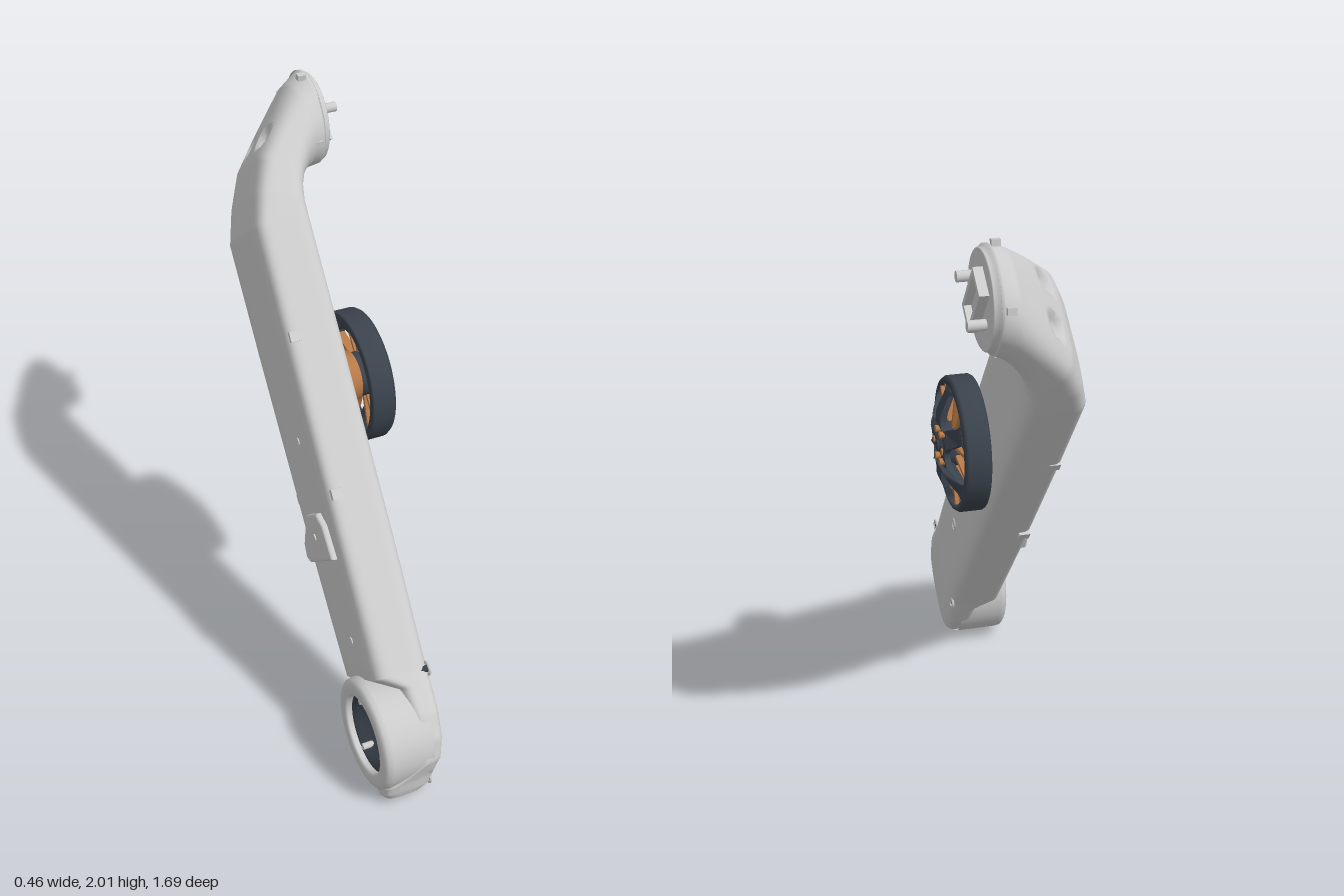
import * as THREE from 'three';

const grey = new THREE.MeshStandardMaterial({ color: 0xcccccc, side: THREE.DoubleSide });
const dark = new THREE.MeshStandardMaterial({ color: 0x3a424c, side: THREE.DoubleSide });
const copper = new THREE.MeshStandardMaterial({ color: 0xb87a48 });

function add(parent, name, geometry, material, x = 0, y = 0, z = 0) {
  const mesh = new THREE.Mesh(geometry, material);
  mesh.name = name;
  mesh.position.set(x, y, z);
  parent.add(mesh);
  return mesh;
}

// Cylinder lying along x, from x0 to x1
function rod(parent, name, r, x0, x1, y, z, material, sides = 32) {
  const g = new THREE.CylinderGeometry(r, r, x1 - x0, sides).rotateZ(-Math.PI / 2);
  return add(parent, name, g, material, (x0 + x1) / 2, y, z);
}

// Lathe profile of [radius, x] pairs around the x axis
function latheX(parent, name, profile, material, y, z, segments = 64) {
  const points = profile.map(([r, x]) => new THREE.Vector2(r, x));
  return add(parent, name, new THREE.LatheGeometry(points, segments).rotateZ(-Math.PI / 2), material, 0, y, z);
}

// Arm stations: inner x, inner y, outer x, outer y, +z edge, -z edge, roundness
const STATIONS = [
  [-0.085, -1.255, -0.20, -1.255, 0.03, -0.04, 3],
  [-0.055, -1.240, -0.215, -1.240, 0.05, -0.06, 4],
  [-0.030, -1.205, -0.215, -1.215, 0.08, -0.09, 4],
  [-0.012, -1.150, -0.11, -1.165, 0.146, -0.155, 4],
  [0.000, -1.080, -0.11, -1.080, 0.186, -0.187, 4],
  [0.008, -0.990, -0.11, -0.990, 0.197, -0.197, 4],
  [0.012, -0.890, -0.11, -0.890, 0.180, -0.190, 4.5],
  [0.015, -0.835, -0.19, -0.835, 0.174, -0.186, 5],
  [0.015, -0.350, -0.19, -0.350, 0.180, -0.192, 7],
  [0.015, 0.300, -0.19, 0.300, 0.188, -0.202, 7],
  [0.015, 0.720, -0.19, 0.720, 0.195, -0.208, 6],
  [0.018, 0.780, -0.155, 0.840, 0.195, -0.206, 5],
  [0.030, 0.825, -0.105, 0.960, 0.190, -0.200, 4],
  [0.050, 0.862, -0.040, 1.045, 0.184, -0.190, 3.2],
  [0.080, 0.893, 0.030, 1.130, 0.178, -0.178, 2.6],
  [0.110, 0.908, 0.085, 1.195, 0.174, -0.166, 2.2],
  [0.150, 0.913, 0.150, 1.239, 0.172, -0.154, 2],
];
const DIMPLES = [[-0.055, 1.03, 0.085], [-0.055, 1.03, -0.07]].map((p) => new THREE.Vector3(...p));

function armGeometry(around = 112, steps = 8) {
  const rings = [];
  for (let i = 0; i < STATIONS.length - 1; i++)
    for (let k = 0; k < steps; k++)
      rings.push(STATIONS[i].map((v, c) => THREE.MathUtils.lerp(v, STATIONS[i + 1][c], k / steps)));
  rings.push(STATIONS[STATIONS.length - 1]);
  const pos = [], index = [], centres = [];
  rings.forEach(([ix, iy, ox, oy, zp, zm, e], i) => {
    const mid = new THREE.Vector3((ix + ox) / 2, (iy + oy) / 2, (zp + zm) / 2);
    const n = new THREE.Vector3((ix - ox) / 2, (iy - oy) / 2, 0);
    centres.push(mid);
    for (let j = 0; j < around; j++) {
      const a = (j / around) * Math.PI * 2, c = Math.cos(a), s = Math.sin(a);
      const k = 1 / Math.pow(Math.abs(c) ** e + Math.abs(s) ** e, 1 / e);
      const p = mid.clone().addScaledVector(n, c * k);
      p.z += s * k * (zp - zm) / 2;
      // Finger recesses on the outside of the elbow
      for (const d of DIMPLES) {
        const q = p.distanceTo(d) / 0.045;
        if (q < 1) p.addScaledVector(n.clone().normalize(), 0.035 * Math.sqrt(1 - q * q));
      }
      pos.push(p.x, p.y, p.z);
      const b = i * around, m = (j + 1) % around;
      if (i < rings.length - 1)
        index.push(b + j, b + around + j, b + m, b + m, b + around + j, b + around + m);
    }
  });
  // End caps
  const start = pos.length / 3, last = (rings.length - 1) * around;
  for (const c of [centres[0], centres[centres.length - 1]]) pos.push(c.x, c.y, c.z);
  for (let j = 0; j < around; j++) {
    const m = (j + 1) % around;
    index.push(start, j, m, start + 1, last + m, last + j);
  }
  const g = new THREE.BufferGeometry();
  g.setAttribute('position', new THREE.Float32BufferAttribute(pos, 3));
  g.setIndex(index);
  g.computeVertexNormals();
  return g;
}

function buildArm() {
  const arm = new THREE.Group();
  arm.name = 'arm';
  add(arm, 'armShell', armGeometry(), grey);

  // Foot socket: pale collar around a dark conical recess
  latheX(arm, 'footCollar', [[0.198, -0.05], [0.198, -0.20], [0.195, -0.218], [0.184, -0.228], [0.17, -0.23],
    [0.145, -0.23], [0.138, -0.222], [0.138, -0.19]], grey, -1.023, -0.004);
  latheX(arm, 'footSocket', [[0.139, -0.205], [0.12, -0.205], [0.115, -0.185], [0.04, -0.125], [0, -0.125]],
    dark, -1.023, -0.004);
  for (let i = 0; i < 3; i++) {
    const a = (i / 3) * Math.PI * 2;
    rod(arm, 'socketScrew', 0.012, -0.21, -0.15, -1.023 + 0.112 * Math.cos(a), 0.112 * Math.sin(a), grey, 12);
  }

  // Round coupling face with plug frame and pins
  const cy = 1.076, cz = 0.009;
  latheX(arm, 'couplingFlange', [[0.163, 0.14], [0.163, 0.152], [0.153, 0.154], [0.153, 0.168], [0.149, 0.171], [0, 0.171]],
    grey, cy, cz);
  const frame = new THREE.Shape([[-0.05, -0.1], [0.05, -0.1], [0.05, 0.1], [-0.05, 0.1]].map((p) => new THREE.Vector2(...p)));
  frame.holes.push(new THREE.Path([[-0.035, -0.083], [0.035, -0.083], [0.035, 0.083], [-0.035, 0.083]].map((p) => new THREE.Vector2(...p))));
  const plug = add(arm, 'plugFrame', new THREE.ExtrudeGeometry(frame, { depth: 0.035, bevelEnabled: false }).rotateY(Math.PI / 2),
    grey, 0.166, cy, cz);
  plug.rotation.x = -0.16 + 0.32 * 0.5;
  add(arm, 'plugCore', new THREE.BoxGeometry(0.012, 0.15, 0.05), grey, 0.175, cy, cz);
  for (const side of [1, -1]) rod(arm, 'couplingPin', 0.017, 0.16, 0.228, cy + side * 0.001, cz + side * 0.084, grey, 20);
  for (let i = 0; i < 4; i++) {
    const a = Math.PI / 4 + (i * Math.PI) / 2;
    const tab = add(arm, 'couplingTab', new THREE.BoxGeometry(0.028, 0.02, 0.022), grey,
      0.122, cy + 0.165 * Math.cos(a), cz + 0.165 * Math.sin(a));
    tab.rotation.x = a;
  }

  // Raised pad on the outer face
  const pad = new THREE.Shape();
  const corners = [[0.10, -0.405], [0.09, -0.30], [0.06, -0.262], [-0.04, -0.262], [-0.14, -0.355], [-0.15, -0.395], [-0.13, -0.41]];
  pad.setFromPoints(corners.map(([z, y]) => new THREE.Vector2(z, y)));
  const padGeometry = new THREE.ExtrudeGeometry(pad, { depth: 0.015, bevelSize: 0.01, bevelThickness: 0.01, bevelSegments: 3 });
  add(arm, 'sidePad', padGeometry.rotateY(-Math.PI / 2), grey, -0.186, 0, 0);
  rod(arm, 'padScrew', 0.012, -0.216, -0.19, -0.33, 0, grey, 16);
  for (const y of [-0.7, 0.0]) rod(arm, 'outerScrew', 0.013, -0.194, -0.17, y, 0.03, grey, 16);

  // Screw cups on the inner face
  for (const [y, z, x] of [[-0.847, 0.16, 0.0], [-0.846, -0.162, 0.0], [-1.225, 0.01, -0.045], [-0.49, 0.0, 0.012]]) {
    add(arm, 'screwCup', new THREE.TorusGeometry(0.021, 0.005, 8, 24).rotateY(Math.PI / 2), grey, x + 0.002, y, z);
    rod(arm, 'screwHead', 0.013, x - 0.03, x + 0.003, y, z, dark, 6);
  }
  rod(arm, 'smallScrew', 0.013, 0, 0.018, -0.29, 0.002, grey, 16);

  // Clips along both long edges
  for (const y of [-0.2, 0.34])
    for (const [z, side] of [[0.181, 1], [-0.194, -1]])
      add(arm, 'edgeClip', new THREE.BoxGeometry(0.04, 0.035, 0.02), grey, -0.155, y, z + side * 0.002 * (y + 0.2));
  return arm;
}

function buildWheel() {
  const wheel = new THREE.Group();
  wheel.name = 'wheel';
  latheX(wheel, 'wheelRim', [[0.205, 0.042], [0.226, 0.042], [0.23, 0.048], [0.23, 0.118], [0.222, 0.13], [0.205, 0.13], [0.205, 0.042]],
    dark, 0, 0);

  // Dished front with six rounded windows
  const face = new THREE.Shape().absarc(0, 0, 0.222, 0, Math.PI * 2, false);
  const bolts = [];
  for (let i = 0; i < 6; i++) {
    const a = (i * Math.PI) / 3;
    const outline = [[0.092, -0.13], [0.145, -0.31], [0.193, -0.37], [0.205, -0.28], [0.207, 0],
      [0.205, 0.28], [0.193, 0.37], [0.145, 0.31], [0.092, 0.13]]
      .map(([r, t]) => new THREE.Vector3(r * Math.cos(a + t), r * Math.sin(a + t), 0));
    const curve = new THREE.CatmullRomCurve3(outline, true);
    face.holes.push(new THREE.Path(curve.getPoints(36).slice(0, -1).map((p) => new THREE.Vector2(p.x, p.y))));
    bolts.push(a);
  }
  const dish = new THREE.ExtrudeGeometry(face, { depth: 0.02, bevelEnabled: false, curveSegments: 48 });
  const p = dish.attributes.position;
  for (let i = 0; i < p.count; i++)
    p.setZ(i, p.getZ(i) + 0.148 - 0.45 * Math.max(0, Math.hypot(p.getX(i), p.getY(i)) - 0.12));
  dish.computeVertexNormals();
  add(wheel, 'wheelSpokes', dish.rotateY(Math.PI / 2), dark);

  // Hub, axle and bolts
  rod(wheel, 'axle', 0.087, 0.005, 0.07, 0, 0, copper, 48);
  rod(wheel, 'innerHub', 0.078, 0.06, 0.155, 0, 0, dark, 48);
  rod(wheel, 'hubNut', 0.02, 0.16, 0.174, 0, 0, dark, 6);
  for (const a of bolts) {
    rod(wheel, 'hubBolt', 0.012, 0.15, 0.172, 0.056 * Math.sin(a), 0.056 * Math.cos(a), copper, 12);
    // Paired copper bars behind each window
    for (const side of [-1, 1]) {
      const bar = new THREE.BoxGeometry(0.03, 0.14, 0.013);
      bar.translate(0.113, 0.138, 0).rotateX(a + Math.PI / 2 + side * 0.19);
      add(wheel, 'copperBar', bar, copper);
    }
  }
  wheel.position.set(0, 1.136, -0.106);
  return wheel;
}

export function createModel() {
  const model = new THREE.Group();
  model.name = 'leaningArmWithWheel';
  const arm = buildArm();
  arm.rotation.x = -0.684;
  arm.position.y = 1;
  model.add(arm, buildWheel());
  return model;
}
